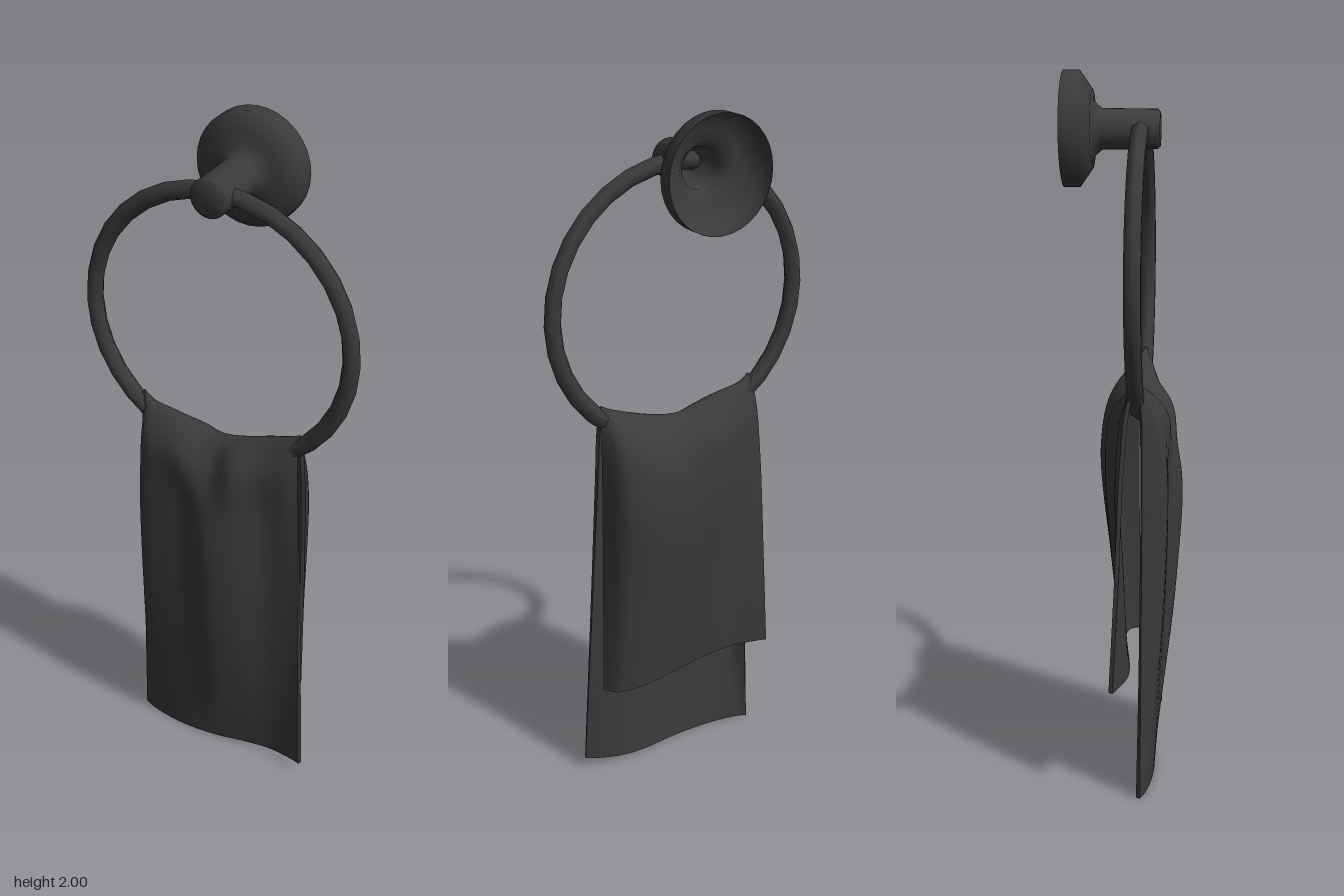
import * as THREE from 'three';
import { toCreasedNormals } from 'three/addons/utils/BufferGeometryUtils.js';

const material = new THREE.MeshStandardMaterial({ color: 0x3a3a3a, side: THREE.DoubleSide });
const MOUNT_Y = 1.847;
const RING_Z = 0.046;
const { lerp } = THREE.MathUtils;

function addMesh(group, name, geometry, crease) {
  const mesh = new THREE.Mesh(toCreasedNormals(geometry, crease), material);
  mesh.name = name;
  group.add(mesh);
  return mesh;
}

// Cloth cross-sections from the front hem, over the ring, to the back hem.
// drop: share of the way down from the crest, negative at the back; z: depth at each column.
const COLUMNS = [0, 0.06, 0.2, 0.35, 0.5, 0.65, 0.8, 0.94, 1];
const CREST = [1.21, 1.185, 1.17, 1.15, 1.137, 1.147, 1.17, 1.195, 1.21];
const SECTIONS = [
  { drop: 1, z: [0.062, 0.075, 0.09, 0.094, 0.088, 0.075, 0.072, 0.088, 0.1] },
  { drop: 0.5, z: [0.064, 0.118, 0.125, 0.128, 0.152, 0.13, 0.09, 0.08, 0.08] },
  { drop: 0.2, z: [0.064, 0.123, 0.13, 0.13, 0.16, 0.145, 0.095, 0.08, 0.07] },
  { drop: 0.06, z: [0.06, 0.1, 0.115, 0.125, 0.1, 0.13, 0.1, 0.08, 0.065] },
  { drop: 0, z: COLUMNS.map(() => RING_Z) },
  { drop: -0.08, z: [0.022, 0.01, 0, -0.03, -0.02, -0.035, -0.042, -0.015, 0.033] },
  { drop: -0.27, z: [0.005, -0.008, -0.018, -0.048, -0.055, -0.068, -0.08, -0.055, 0.025] },
  { drop: -0.65, z: [-0.01, -0.008, -0.002, -0.02, -0.035, -0.045, -0.053, -0.035, 0.025] },
  { drop: -1, z: [-0.025, -0.013, 0.008, 0.01, 0, -0.012, -0.02, -0.008, 0.03] },
];

function sectionCurve({ drop, z }) {
  const front = drop > 0;
  const t = Math.abs(drop);
  const spread = front ? t : Math.sqrt(t);
  const right = lerp(-0.236, front ? -0.265 : -0.276, spread);
  const left = lerp(0.25, front ? 0.31 : 0.276, spread);
  const points = COLUMNS.map((u, i) => {
    const hem = front ? 0.005 + 0.035 * u ** 3 : 0.33 - 0.02 * u;
    return new THREE.Vector3(lerp(right, left, u), lerp(CREST[i], hem, t), z[i]);
  });
  return new THREE.CatmullRomCurve3(points);
}

// Smooth cloth surface, thickened into a closed shell
function towelGeometry(nu = 40, nv = 80, thickness = 0.012) {
  const curves = SECTIONS.map(sectionCurve);
  const stride = nv + 1;
  const count = (nu + 1) * stride;
  const positions = [];
  for (let i = 0; i <= nu; i++) {
    const strip = new THREE.CatmullRomCurve3(curves.map((c) => c.getPoint(i / nu)));
    for (let j = 0; j <= nv; j++) positions.push(...strip.getPoint(j / nv).toArray());
  }

  const index = [];
  for (let i = 0; i < nu; i++) {
    for (let j = 0; j < nv; j++) {
      const a = i * stride + j;
      const b = a + stride;
      index.push(a, b, b + 1, a, b + 1, a + 1);
    }
  }
  const sheet = new THREE.BufferGeometry();
  sheet.setAttribute('position', new THREE.Float32BufferAttribute(positions, 3));
  sheet.setIndex(index);
  sheet.computeVertexNormals();

  // Inner layer, facing the other way
  const normals = sheet.attributes.normal.array;
  const shell = positions.concat(positions.map((p, k) => p - normals[k] * thickness));
  const faces = index.slice();
  for (let k = 0; k < index.length; k += 3) {
    faces.push(index[k] + count, index[k + 2] + count, index[k + 1] + count);
  }

  // Rim around the four edges
  const border = [];
  for (let i = 0; i < nu; i++) border.push(i * stride);
  for (let j = 0; j < nv; j++) border.push(nu * stride + j);
  for (let i = nu; i > 0; i--) border.push(i * stride + nv);
  for (let j = nv; j > 0; j--) border.push(j);
  border.forEach((a, k) => {
    const b = border[(k + 1) % border.length];
    faces.push(a, a + count, b + count, a, b + count, b);
  });

  const geometry = new THREE.BufferGeometry();
  geometry.setAttribute('position', new THREE.Float32BufferAttribute(shell, 3));
  geometry.setIndex(faces);
  return geometry;
}

export function createModel() {
  const group = new THREE.Group();
  group.name = 'towelRing';

  // Hollow wall plate flowing into the post, open at the back
  const profile = [
    [0.155, -0.163], [0.155, -0.12], [0.105, -0.085], [0.077, -0.085],
    [0.055, -0.06], [0.053, 0.09], [0.045, 0.098], [0, 0.1],
  ].map(([r, z]) => new THREE.Vector2(r, z));
  const mount = new THREE.LatheGeometry(profile, 32).rotateX(Math.PI / 2);
  addMesh(group, 'wallMount', mount, 1.2).position.y = MOUNT_Y;

  // Hanging ring
  const ring = new THREE.TorusGeometry(0.385, 0.025, 6, 32);
  addMesh(group, 'ring', ring, 1.2).position.set(0, 1.463, RING_Z);

  // Draped towel
  addMesh(group, 'towel', towelGeometry(), 0.9);

  return group;
}
